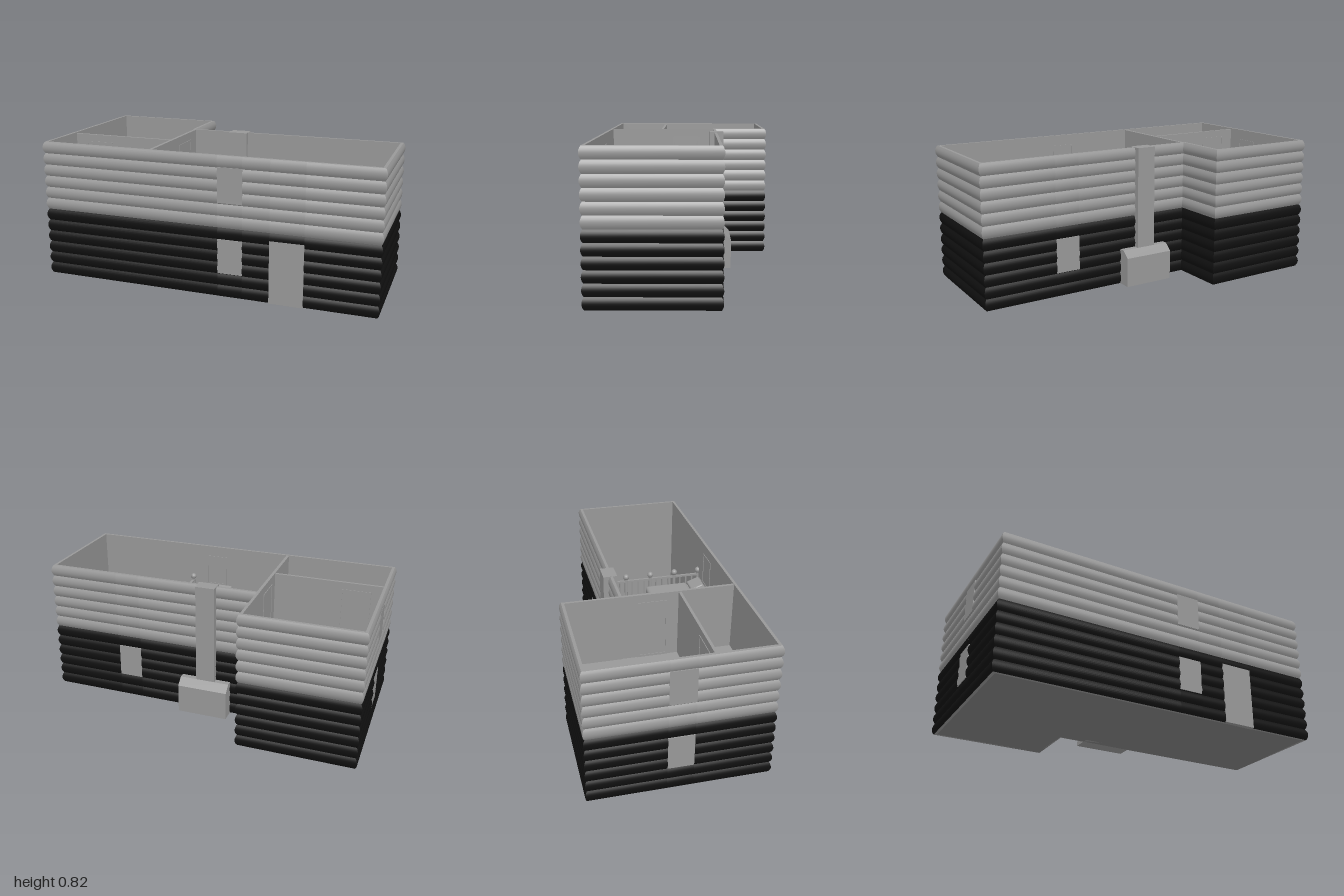
import * as THREE from 'three';
import { mergeGeometries } from 'three/addons/utils/BufferGeometryUtils.js';
import { RoundedBoxGeometry } from 'three/addons/geometries/RoundedBoxGeometry.js';

const paint = (c) => new THREE.MeshStandardMaterial({ color: c });
const grey = paint(0x989898), dark = paint(0x101010), dim = paint(0x828282), wood = paint(0x767676);

const H = 0.815, ROWS = 12, ROW = H / ROWS, LOFT = 0.41, BULGE = 0.011;

// L-shaped plan as [x, z], starting at the front left-hand corner of the plan
const plan = [[-0.99, 0.5], [0.99, 0.5], [0.99, -0.18], [-0.315, -0.18], [-0.315, -0.5], [-0.99, -0.5]];
const sides = plan.map((p, i) => {
  const q = plan[(i + 1) % plan.length];
  const len = Math.hypot(q[0] - p[0], q[1] - p[1]);
  const d = [(q[0] - p[0]) / len, (q[1] - p[1]) / len];
  return { p, d, n: [-d[1], d[0]], len };
});
const outline = (o) => plan.map((p, i) => {
  const a = sides[i].n, b = sides[(i + 5) % 6].n;
  return new THREE.Vector2(p[0] + o * (a[0] + b[0]), -(p[1] + o * (a[1] + b[1])));
});

// Openings per side: centre along the side, width, and [bottom, top] spans
const low = [0.14, 0.34], high = [0.55, 0.75];
const openings = {
  0: [{ t: 1.152, w: 0.145, spans: [low, high] }, { t: 1.478, w: 0.195, spans: [[0, 0.365]] }],
  2: [{ t: 0.50, w: 0.145, spans: [low] }],
  5: [{ t: 0.50, w: 0.145, spans: [low, high] }],
};

function mesh(parent, name, geo, x = 0, y = 0, z = 0, mat = grey) {
  const m = new THREE.Mesh(geo, mat);
  m.name = name;
  m.position.set(x, y, z);
  parent.add(m);
  return m;
}
const box = (parent, name, w, h, d, x, y, z, mat) =>
  mesh(parent, name, new THREE.BoxGeometry(w, h, d), x, y, z, mat);

function group(parent, name, x = 0, y = 0, z = 0, turn = 0) {
  const g = new THREE.Group();
  g.name = name;
  g.position.set(x, y, z);
  g.rotation.y = turn;
  parent.add(g);
  return g;
}

function slab(pts, height, hole) {
  const shape = new THREE.Shape(pts);
  if (hole) shape.holes.push(new THREE.Path(hole));
  return new THREE.ExtrudeGeometry(shape, { depth: height, bevelEnabled: false }).rotateX(-Math.PI / 2);
}

// Part of one rounded log from t0 to t1 along a side, mitred at the corners
function logPiece(i, t0, t1, row, y0, y1) {
  const s = sides[i], pos = [], index = [], STEPS = 8;
  for (let k = 0; k <= STEPS; k++) {
    const y = y0 + (y1 - y0) * k / STEPS;
    const u = (y / ROW - row) * 2 - 1;
    const o = BULGE * (1 - u * u);
    for (const t of [t0, t1]) {
      const end = t <= 0 ? sides[(i + 5) % 6].n : t >= s.len ? sides[(i + 1) % 6].n : [0, 0];
      pos.push(s.p[0] + s.d[0] * t + (s.n[0] + end[0]) * o, y, s.p[1] + s.d[1] * t + (s.n[1] + end[1]) * o);
    }
    if (k < STEPS) index.push(2 * k, 2 * k + 1, 2 * k + 3, 2 * k, 2 * k + 3, 2 * k + 2);
  }
  const g = new THREE.BufferGeometry();
  g.setAttribute('position', new THREE.Float32BufferAttribute(pos, 3));
  g.setIndex(index);
  g.computeVertexNormals();
  return g;
}

function logWalls(parent) {
  const pieces = [[], []];
  const column = (i, t0, t1, y0, y1) => {
    for (let r = 0; r < ROWS; r++) {
      const a = Math.max(y0, r * ROW), b = Math.min(y1, (r + 1) * ROW);
      if (b - a > 1e-4) pieces[r < 6 ? 0 : 1].push(logPiece(i, t0, t1, r, a, b));
    }
  };
  sides.forEach((s, i) => {
    let t = 0;
    for (const o of openings[i] ?? []) {
      column(i, t, o.t - o.w / 2, 0, H);
      let y = 0;
      for (const [a, b] of o.spans) {
        column(i, o.t - o.w / 2, o.t + o.w / 2, y, a);
        y = b;
      }
      column(i, o.t - o.w / 2, o.t + o.w / 2, y, H);
      t = o.t + o.w / 2;
    }
    column(i, t, s.len, 0, H);
  });
  mesh(parent, 'lowerLogs', mergeGeometries(pieces[0]), 0, 0, 0, dark);
  mesh(parent, 'upperLogs', mergeGeometries(pieces[1]));
}

// Panel in the local xy plane with a raised frame at each depth in zs
function framedPanel(g, w, y0, y1, depth, zs) {
  const h = y1 - y0, y = (y0 + y1) / 2, f = 0.013;
  box(g, 'panel', w, h, depth, 0, y, 0);
  for (const z of zs) {
    for (const sx of [-1, 1]) box(g, 'frameSide', f, h, 0.008, sx * (w - f) / 2, y, z);
    box(g, 'frameTop', w - 2 * f, f, 0.008, 0, y1 - f / 2, z);
    box(g, 'frameBottom', w - 2 * f, f, 0.008, 0, y0 + f / 2, z);
  }
}

function chair(parent, x, z, turn, backMat) {
  const g = group(parent, 'chair', x, 0.01, z, turn);
  box(g, 'seat', 0.075, 0.01, 0.075, 0, 0.09, 0);
  box(g, 'backrest', 0.075, 0.09, 0.01, 0, 0.14, -0.033, backMat);
  for (const sx of [-1, 1]) for (const sz of [-1, 1]) box(g, 'leg', 0.01, 0.09, 0.01, sx * 0.032, 0.045, sz * 0.032);
}

export function createModel() {
  const model = new THREE.Group();
  model.name = 'logCabin';

  // Shell: logs outside, smooth lining inside, ground floor
  logWalls(model);
  mesh(model, 'wallLining', slab(outline(0), H, outline(-0.016)));
  mesh(model, 'groundFloor', slab(outline(-0.001), 0.008), 0, 0, 0, dim);

  // Windows sit inside the logs, the front door flush with them
  for (const [i, list] of Object.entries(openings)) {
    const s = sides[i];
    for (const o of list) {
      const isDoor = o.spans[0][0] === 0;
      const g = group(model, isDoor ? 'frontDoor' : 'windows',
        s.p[0] + s.d[0] * o.t, 0, s.p[1] + s.d[1] * o.t, Math.atan2(s.n[0], s.n[1]));
      for (const [a, b] of o.spans) framedPanel(g, o.w, a, b, isDoor ? 0.022 : 0.014, [-0.0155]);
    }
  }

  // Loft floor covers everything left of the railing
  const loft = [[-0.98, 0.49], [0.33, 0.49], [0.33, -0.17], [-0.325, -0.17], [-0.325, -0.49], [-0.98, -0.49]];
  mesh(model, 'loftFloor', slab(loft.map(([x, z]) => new THREE.Vector2(x, -z)), 0.015), 0, LOFT - 0.015, 0);

  // Inner walls with doors
  box(model, 'longPartition', 0.018, H - 0.005, 0.67, -0.319, H / 2, 0.155);
  box(model, 'crossPartition', 0.66, H - 0.015, 0.016, -0.65, H / 2, 0.167);
  framedPanel(group(model, 'hallDoor', -0.319, 0, 0.01, Math.PI / 2), 0.18, LOFT, 0.765, 0.019, [-0.0085, 0.0085]);
  framedPanel(group(model, 'roomDoor', -0.815, 0, 0.167), 0.18, LOFT, 0.765, 0.017, [-0.0075, 0.0075]);

  // Chimney: sloped hearth below a tall stack
  const hearth = new THREE.Shape([[0.14, 0], [0.265, 0], [0.265, 0.175], [0.22, 0.215], [0.14, 0.215]]
    .map(([x, y]) => new THREE.Vector2(x, y)));
  const hearthGeo = new THREE.ExtrudeGeometry(hearth, { depth: 0.305, bevelEnabled: false });
  mesh(model, 'hearth', hearthGeo.rotateY(Math.PI / 2), -0.165, 0, 0);
  box(model, 'chimneyStack', 0.115, 0.616, 0.082, -0.018, 0.508, -0.179);

  // Loft railing
  const rail = group(model, 'railing', 0.325, LOFT, 0);
  for (let i = 0; i < 5; i++) {
    const z = -0.16 + i * 0.16;
    mesh(rail, 'post', new THREE.CylinderGeometry(0.01, 0.01, 0.17, 12), 0, 0.085, z);
    mesh(rail, 'knob', new THREE.SphereGeometry(0.019, 16, 12), 0, 0.183, z);
    if (i < 4) for (let k = 1; k < 4; k++) {
      mesh(rail, 'baluster', new THREE.CylinderGeometry(0.006, 0.006, 0.15, 8), 0, 0.075, z + k * 0.04);
    }
  }
  box(rail, 'handrail', 0.014, 0.012, 0.64, 0, 0.152, 0.16);

  // Bed with pillows propped against the headboard
  const bed = group(model, 'bed', 0.17, LOFT, 0);
  box(bed, 'mattress', 0.25, 0.1, 0.35, 0, 0.05, 0.305);
  mesh(bed, 'blanket', new RoundedBoxGeometry(0.275, 0.11, 0.275, 4, 0.02), 0, 0.06, 0.26);
  for (const s of [-1, 1]) {
    const pillow = mesh(bed, 'pillow', new RoundedBoxGeometry(0.118, 0.03, 0.085, 3, 0.01), s * 0.061, 0.125, 0.437);
    pillow.rotation.x = -0.35;
  }
  box(bed, 'headboard', 0.25, 0.14, 0.01, 0, 0.07, 0.478);

  // Desk and stool
  const desk = group(model, 'desk', -0.12, LOFT, 0.01, 0.06);
  box(desk, 'deskTop', 0.1, 0.015, 0.335, 0, 0.177, 0, wood);
  for (const s of [-1, 1]) box(desk, 'deskEnd', 0.09, 0.17, 0.015, 0, 0.085, s * 0.155, wood);
  const stool = group(model, 'stool', -0.145, LOFT, 0.235, 0.75);
  box(stool, 'stoolSeat', 0.07, 0.012, 0.07, 0, 0.084, 0);
  for (const sx of [-1, 1]) for (const sz of [-1, 1]) box(stool, 'stoolLeg', 0.01, 0.08, 0.01, sx * 0.028, 0.04, sz * 0.028);

  // Oval dining table and chairs on the ground floor
  const table = group(model, 'diningTable', 0.64, 0.008, 0.166, -0.7);
  const topGeo = new THREE.CylinderGeometry(0.1, 0.1, 0.012, 32).scale(1.15, 1, 0.78);
  mesh(table, 'tableTop', topGeo, 0, 0.134, 0, dim);
  mesh(table, 'tableLeg', new THREE.CylinderGeometry(0.015, 0.03, 0.128, 16), 0, 0.064, 0, dim);
  chair(model, 0.43, 0.228, 1.25, grey);
  chair(model, 0.52, 0.185, 0.9, grey);
  chair(model, 0.655, 0.095, -0.6, dark);
  chair(model, 0.745, 0.118, 0.3, dark);

  // Small stand with a leaning pole beside the loft edge
  box(model, 'stand', 0.06, 0.12, 0.04, 0.37, 0.068, 0.17, dark).rotation.y = -0.2;
  const pole = mesh(model, 'leaningPole', new THREE.CylinderGeometry(0.004, 0.004, 0.4, 8), 0.37, 0.18, 0.28);
  pole.quaternion.setFromUnitVectors(new THREE.Vector3(0, 1, 0), new THREE.Vector3(-0.05, 0.33, 0.2).normalize());

  return model;
}
